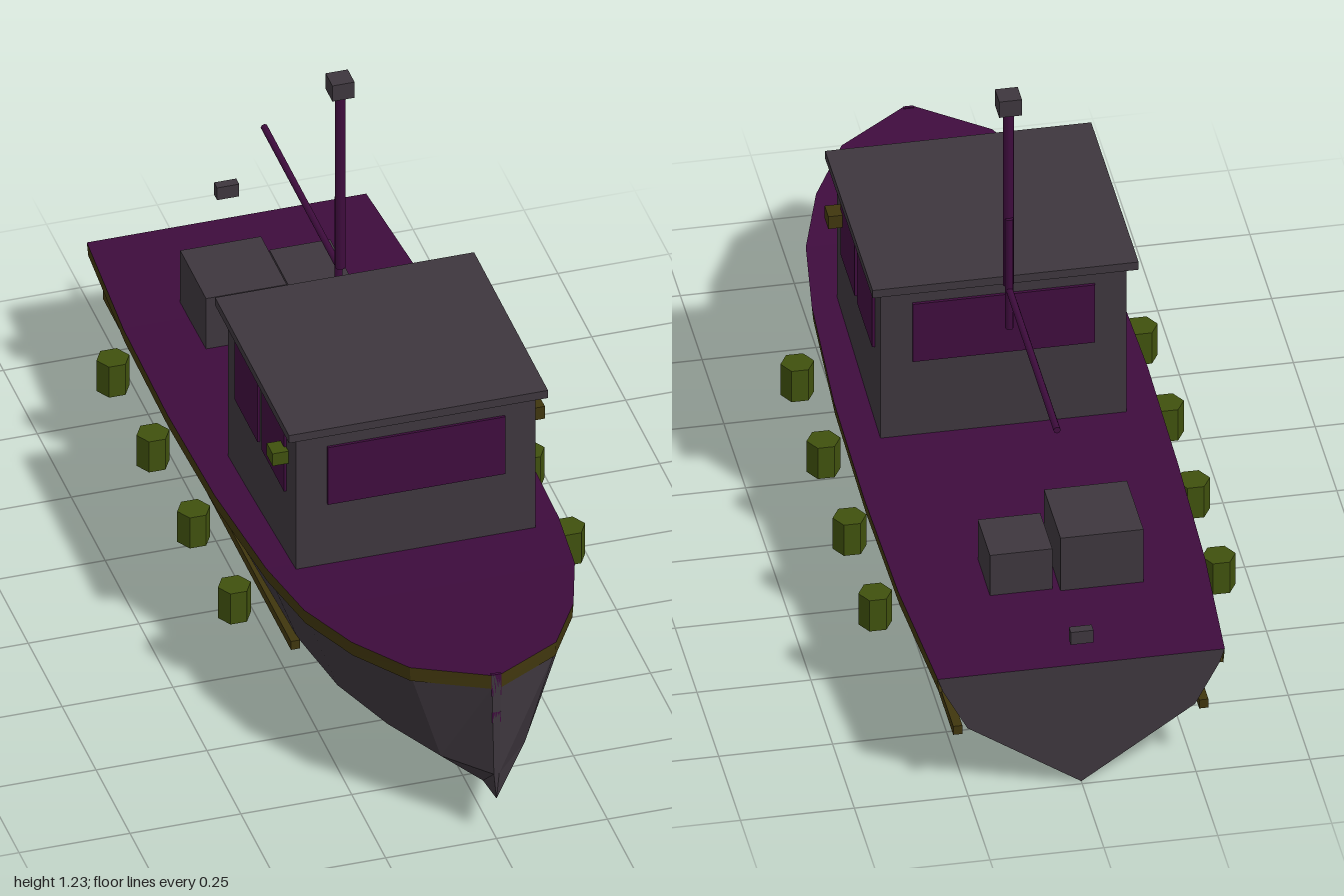
import * as THREE from 'three';

const mat = (name, color, extra = {}) => {
  const m = new THREE.MeshStandardMaterial({ color, ...extra });
  m.name = name;
  return m;
};

export function createModel() {
  const boat = new THREE.Group();
  boat.name = 'fishingBoat';
  const grey = mat('charcoalGrey', 0x3d363d, { side: THREE.DoubleSide });
  const purple = mat('darkPurple', 0x3e0c3d, { side: THREE.DoubleSide });
  const brown = mat('oliveBrown', 0x40360e, { side: THREE.DoubleSide });
  const green = mat('mossGreen', 0x40510e, { flatShading: true });

  const add = (name, geometry, material, x = 0, y = 0, z = 0) => {
    const mesh = new THREE.Mesh(geometry, material);
    mesh.name = name;
    mesh.position.set(x, y, z);
    boat.add(mesh);
    return mesh;
  };
  // Box given by its limits on each axis
  const box = (name, m, x0, x1, y0, y1, z0, z1) =>
    add(name, new THREE.BoxGeometry(x1 - x0, y1 - y0, z1 - z0), m,
      (x0 + x1) / 2, (y0 + y1) / 2, (z0 + z1) / 2);

  // Flat-faced geometry helpers: unindexed triangles keep facets crisp
  const facets = (points) => {
    const g = new THREE.BufferGeometry().setFromPoints(points);
    g.computeVertexNormals();
    return g;
  };
  const strip = (a, b) => {
    const p = [];
    for (let i = 0; i < a.length - 1; i++) {
      p.push(a[i], a[i + 1], b[i + 1], a[i], b[i + 1], b[i]);
    }
    return facets(p);
  };
  const fan = (ring) => {
    const p = [];
    for (let i = 1; i < ring.length - 1; i++) p.push(ring[0], ring[i], ring[i + 1]);
    return facets(p);
  };

  // Hull stations, stern to bow: z, deck half width, deck y, chine half width, keel y
  const stations = [
    [-0.99, 0.315, 0.31, 0.25, 0.005],
    [-0.65, 0.337, 0.314, 0.265, 0.005],
    [-0.3, 0.345, 0.324, 0.27, 0.005],
    [0.05, 0.345, 0.344, 0.27, 0.005],
    [0.38, 0.33, 0.369, 0.26, 0.005],
    [0.58, 0.305, 0.387, 0.23, 0.03],
    [0.75, 0.25, 0.405, 0.17, 0.062],
    [0.9, 0.165, 0.421, 0.095, 0.091],
    [1.0, 0.01, 0.435, 0.006, 0.11],
  ];
  const rows = (s) => {
    const make = (f) => stations.map((st) => {
      const [x, y] = f(...st);
      return new THREE.Vector3(s * x, y, st[0]);
    });
    return {
      deck: make((z, w, y) => [w, y]),
      bandLow: make((z, w, y) => [w * 0.99, y - 0.035]),
      hullTop: make((z, w, y) => [w * 0.965, y - 0.033]),
      chine: make((z, w, y, c) => [c, 0.175]),
      keel: make((z, w, y, c, k) => [0, k]),
    };
  };
  const port = rows(1);
  const starboard = rows(-1);
  for (const [side, r, flip] of [['left', port, false], ['right', starboard, true]]) {
    const skin = (a, b) => (flip ? strip(b, a) : strip(a, b));
    add(side + 'Gunwale', skin(r.deck, r.bandLow), brown);
    add(side + 'GunwaleLip', skin(r.bandLow, r.hullTop), brown);
    add(side + 'Topside', skin(r.hullTop, r.chine), grey);
    add(side + 'Bottom', skin(r.chine, r.keel), grey);
  }
  add('deck', strip(starboard.deck, port.deck), purple);
  const ringAt = (i) => [port.deck, port.hullTop, port.chine, port.keel,
    starboard.chine, starboard.hullTop, starboard.deck].map((r) => r[i]);
  add('transom', fan(ringAt(0)), grey);
  add('stem', fan(ringAt(stations.length - 1).reverse()), grey);
  box('stemHead', purple, -0.011, 0.011, 0.38, 0.436, 0.993, 1.0);
  box('stemFitting', purple, -0.01, 0.01, 0.31, 0.337, 0.993, 1.0);

  // Cabin with roof and windows
  box('cabin', grey, -0.27, 0.27, 0.33, 0.722, -0.095, 0.405);
  box('cabinRoof', grey, -0.292, 0.292, 0.72, 0.74, -0.12, 0.425);
  box('frontWindow', purple, -0.2, 0.2, 0.53, 0.68, 0.403, 0.411);
  box('backWindow', purple, -0.2, 0.2, 0.53, 0.68, -0.102, -0.094);

  // Parts repeated on both sides
  for (const s of [-1, 1]) {
    const side = s > 0 ? 'left' : 'right';
    for (const [z0, z1] of [[0.17, 0.335], [-0.03, 0.14]]) {
      const w = box(side + 'Window', purple, -0.004, 0.004, 0.53, 0.682, z0, z1);
      w.position.x = s * 0.272;
    }
    const lamp = box(side + 'Lamp', s > 0 ? brown : green, -0.018, 0.018, 0.615, 0.647, 0.31, 0.353);
    lamp.position.x = s * 0.289;
    const rail = box(side + 'RubRail', brown, -0.01, 0.01, 0.158, 0.18, -0.985, 0.4);
    rail.position.x = s * 0.27;
    for (const z of [0.3, 0, -0.3, -0.595]) {
      const fender = add(side + 'Fender', new THREE.CylinderGeometry(0.037, 0.037, 0.08, 6),
        green, s * 0.377, 0.243, z);
      fender.rotation.y = Math.PI / 2;
    }
  }

  // Mast, boom and masthead light
  add('mast', new THREE.CylinderGeometry(0.012, 0.012, 0.46, 8), purple, 0, 0.97, -0.152);
  box('mastCap', grey, -0.025, 0.025, 1.195, 1.236, -0.178, -0.128);
  add('boomPost', new THREE.CylinderGeometry(0.009, 0.009, 0.285, 8), purple, 0, 0.777, -0.163);
  const boom = add('boom', new THREE.CylinderGeometry(0.008, 0.008, 0.55, 8), purple, 0, 0.734, -0.437);
  boom.rotation.x = Math.PI / 2;

  // Deck cargo and stern light
  box('largeCrate', grey, -0.19, -0.008, 0.305, 0.45, -0.71, -0.52);
  box('smallCrate', grey, 0.008, 0.145, 0.305, 0.418, -0.7, -0.56);
  box('sternLight', grey, -0.025, 0.025, 0.37, 0.402, -1.0, -0.978);

  return boat;
}
